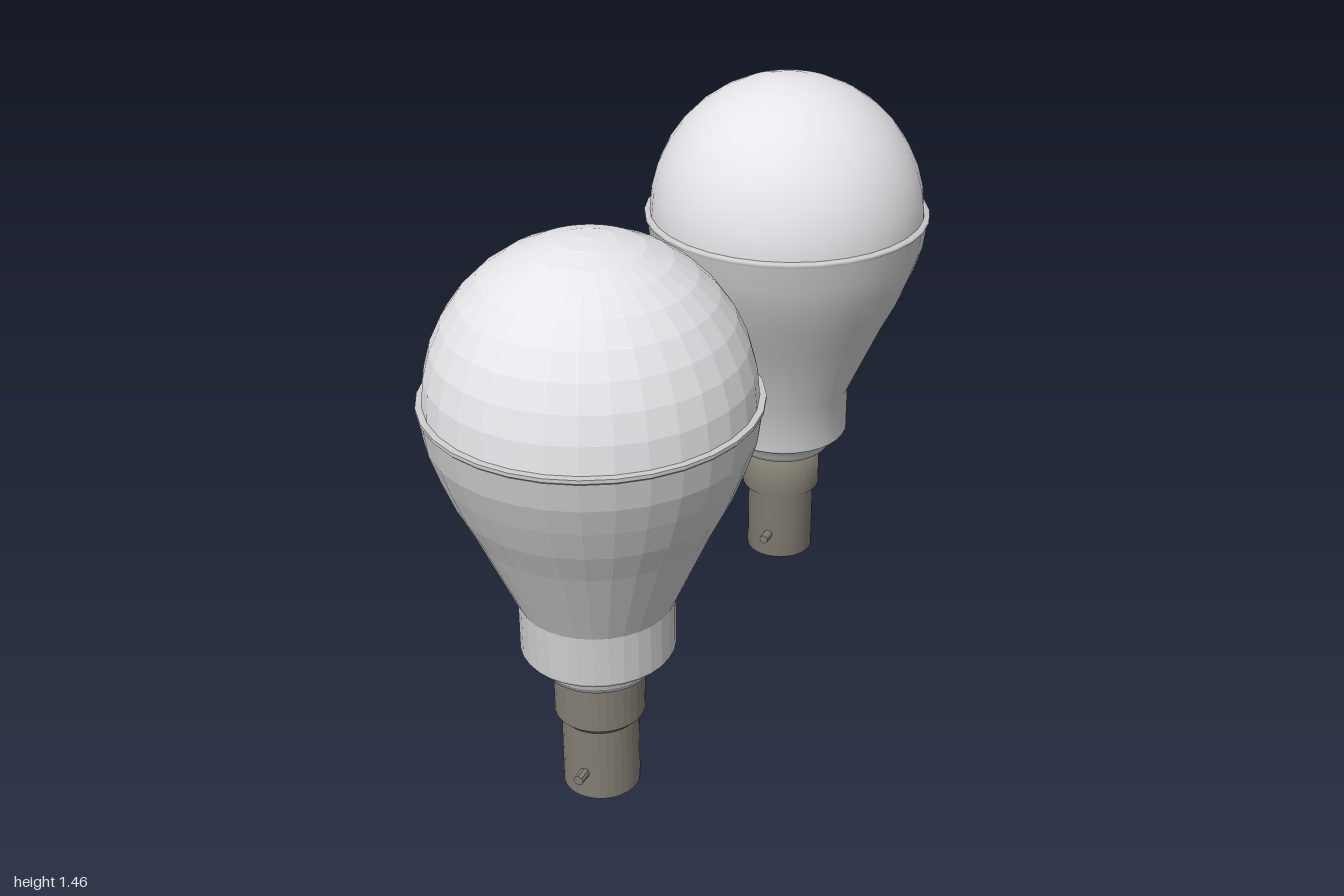
import * as THREE from 'three';

const SEGMENTS = 32;
const DOME_RADIUS = 0.377;
const DOME_Y = 1.085;

// Profiles run from bottom to top as [radius, height].
const CAP = [[0, 0], [0.07, 0], [0.07, 0.016], [0.095, 0.018], [0.095, 0.215],
  [0.111, 0.232], [0.111, 0.357], [0, 0.357]];
const HOUSING = [[0.1, 0.355], [0.132, 0.36], [0.147, 0.38], [0.153, 0.4], [0.183, 0.415],
  [0.187, 0.422], [0.187, 0.55], [0.284, 0.77], [0.324, 0.85], [0.355, 0.93],
  [0.378, 1.0], [0.387, 1.07], [0.392, 1.075], [0.392, 1.084], [0.37, 1.086]];

function lathe(profile) {
  return new THREE.LatheGeometry(profile.map(([r, y]) => new THREE.Vector2(r, y)), SEGMENTS);
}

function createBulb(flatShading) {
  const bulb = new THREE.Group();
  const material = (color) => new THREE.MeshStandardMaterial({ color, flatShading });
  const metal = material(0x827d72);
  const add = (name, geometry, mat) => {
    const mesh = new THREE.Mesh(geometry, mat);
    mesh.name = name;
    bulb.add(mesh);
    return mesh;
  };

  // Stepped bayonet cap and flared housing with its rim
  add('bayonetCap', lathe(CAP), metal);
  add('housing', lathe(HOUSING), material(0xcccccc));

  // Half-sphere diffuser
  const dome = new THREE.SphereGeometry(DOME_RADIUS, SEGMENTS, 9, 0, Math.PI * 2, 0, Math.PI / 2);
  add('diffuserDome', dome, material(0xe6e6ea)).position.y = DOME_Y;

  // Locking pins at the front and back of the cap
  for (const side of [1, -1]) {
    const pin = add(side > 0 ? 'frontPin' : 'backPin',
      new THREE.CylinderGeometry(0.013, 0.013, 0.05, 8), metal);
    pin.rotation.x = Math.PI / 2;
    pin.position.set(0, 0.092, side * 0.105);
  }
  return bulb;
}

export function createModel() {
  const model = new THREE.Group();
  model.name = 'lightBulbs';

  // Faceted bulb in front, smooth bulb behind
  for (const side of [1, -1]) {
    const bulb = createBulb(side > 0);
    bulb.name = side > 0 ? 'facetedBulb' : 'smoothBulb';
    bulb.position.z = side * 0.608;
    model.add(bulb);
  }
  return model;
}
